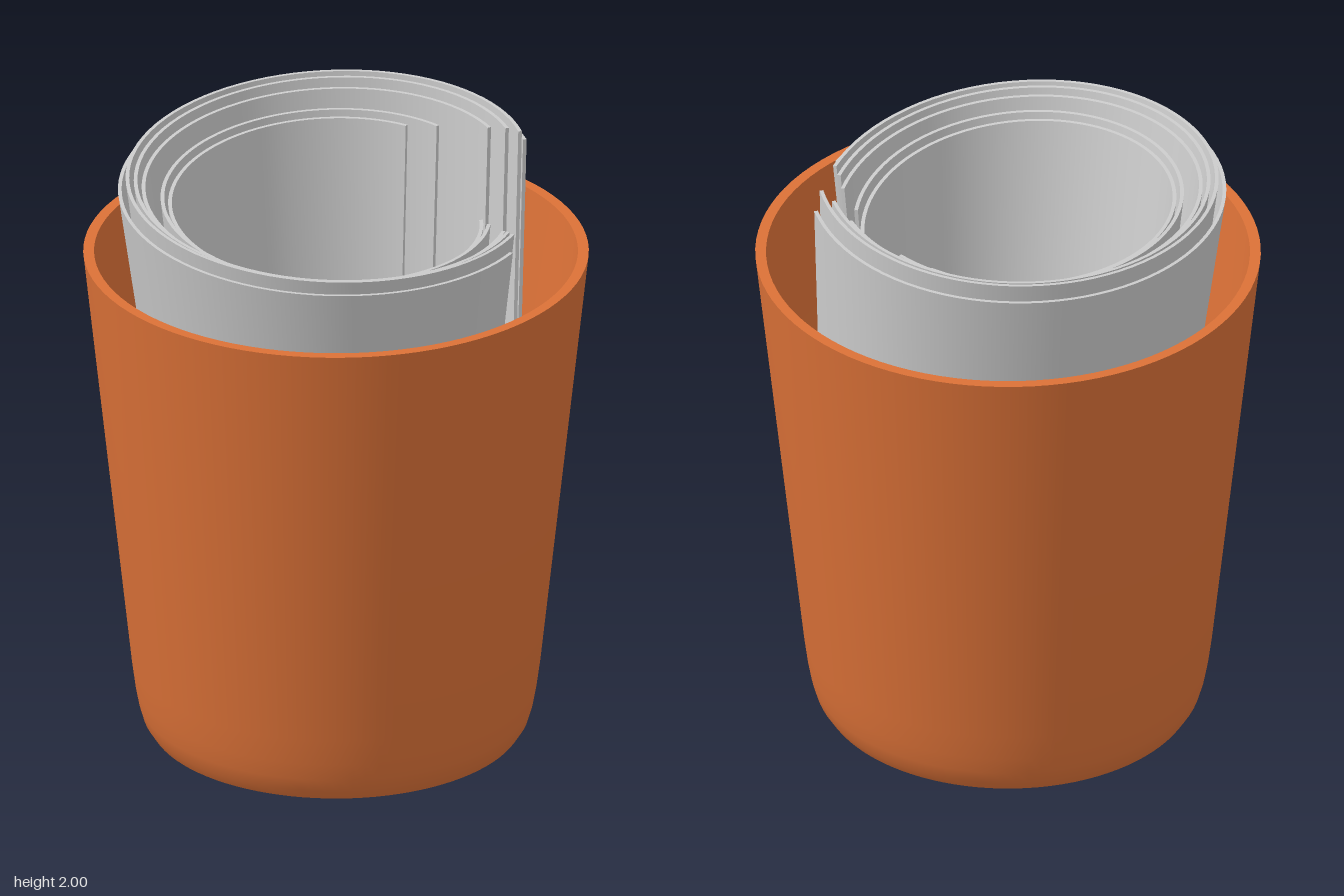
import * as THREE from 'three';
import { toCreasedNormals } from 'three/addons/utils/BufferGeometryUtils.js';

const { lerp, smoothstep, degToRad } = THREE.MathUtils;
const orange = new THREE.MeshStandardMaterial({ color: 0xdb7137 });
orange.name = 'orange';
const paper = new THREE.MeshStandardMaterial({ color: 0xcccccc, side: THREE.DoubleSide });
paper.name = 'paperGrey';

// Each sheet: inset from the outermost, start and end angle (degrees), rim height at both ends
const SHEETS = [
  [0.000, 28, 344, 1.95, 1.80],
  [0.025, 25, 350, 2.00, 1.83],
  [0.052, 30, 353, 1.99, 1.82],
  [0.078, 38, 357, 1.96, 1.80],
  [0.140, 58, 366, 1.91, 1.78],
  [0.165, 70, 376, 1.89, 1.75],
];
const THICK = 0.012;
const FLOOR = 0.07;

// Four corners of a sheet's cross-section at fraction t along its curl
function section([inset, a0, a1, y0, y1], t) {
  const deg = lerp(a0, a1, t), a = degToRad(deg);
  const c = Math.cos(a), s = -Math.sin(a);
  // the roll is conical, but flares out to nearly upright at its loose end
  const cone = smoothstep(deg, 20, 115);
  const rBottom = 0.445 - inset * 0.55;
  const rimY = lerp(y0, y1, Math.pow(t, 1.4));
  const top = (d) => [-0.03 + (0.67 - inset - d) * c, rimY, inset * 0.12 + (0.725 - inset - d) * s];
  const bottom = (d) => {
    const p = top(d);
    return [
      lerp(p[0] * 0.93, -0.015 + (rBottom - d) * c, cone),
      FLOOR,
      lerp(p[2] * 0.93, -0.07 + (rBottom - d) * s, cone),
    ];
  };
  return [bottom(0), top(0), top(THICK), bottom(THICK)];
}

function sheetGeometry(sheet) {
  const steps = 80, pos = [], index = [];
  for (let i = 0; i <= steps; i++) pos.push(...section(sheet, i / steps).flat());
  for (let i = 0; i < steps; i++) {
    for (let k = 0; k < 4; k++) {
      const a = i * 4 + k, b = i * 4 + (k + 1) % 4;
      index.push(a, a + 4, b, b, a + 4, b + 4);
    }
  }
  const e = steps * 4;
  index.push(0, 1, 2, 0, 2, 3, e, e + 2, e + 1, e, e + 3, e + 2);
  // reverse so that the outside faces outwards
  for (let i = 0; i < index.length; i += 3) {
    [index[i + 1], index[i + 2]] = [index[i + 2], index[i + 1]];
  }
  // orient by checking the first outer face against the radial direction
  const v = (n) => new THREE.Vector3().fromArray(pos, n * 3);
  const [p, q, r] = [v(index[0]), v(index[1]), v(index[2])];
  const n = q.sub(p).cross(r.sub(p));
  if (n.x * p.x + n.z * p.z < 0) {
    for (let i = 0; i < index.length; i += 3) {
      [index[i + 1], index[i + 2]] = [index[i + 2], index[i + 1]];
    }
  }
  const g = new THREE.BufferGeometry();
  g.setAttribute('position', new THREE.Float32BufferAttribute(pos, 3));
  g.setIndex(index);
  return toCreasedNormals(g, 0.6);
}

export function createModel() {
  const model = new THREE.Group();
  model.name = 'binWithPaperRoll';

  // Tapered bin with rounded foot, recessed underside and hollow inside
  const profile = [
    [0, 0.02], [0.56, 0.02], [0.56, 0], [0.6, 0], [0.622, 0.035], [0.635, 0.08], [0.646, 0.14],
    [0.658, 0.23], [0.813, 1.665], [0.778, 1.665], [0.625, 0.23], [0.61, 0.12], [0.58, 0.06], [0, 0.06],
  ].map(([x, y]) => new THREE.Vector2(x, y));
  const bin = new THREE.Mesh(toCreasedNormals(new THREE.LatheGeometry(profile, 96), 0.6), orange);
  bin.name = 'bin';
  model.add(bin);

  // Loosely curled sheets nested inside one another
  const roll = new THREE.Group();
  roll.name = 'paperRoll';
  SHEETS.forEach((sheet, i) => {
    const mesh = new THREE.Mesh(sheetGeometry(sheet), paper);
    mesh.name = `paperSheet${i + 1}`;
    roll.add(mesh);
  });
  model.add(roll);
  return model;
}
